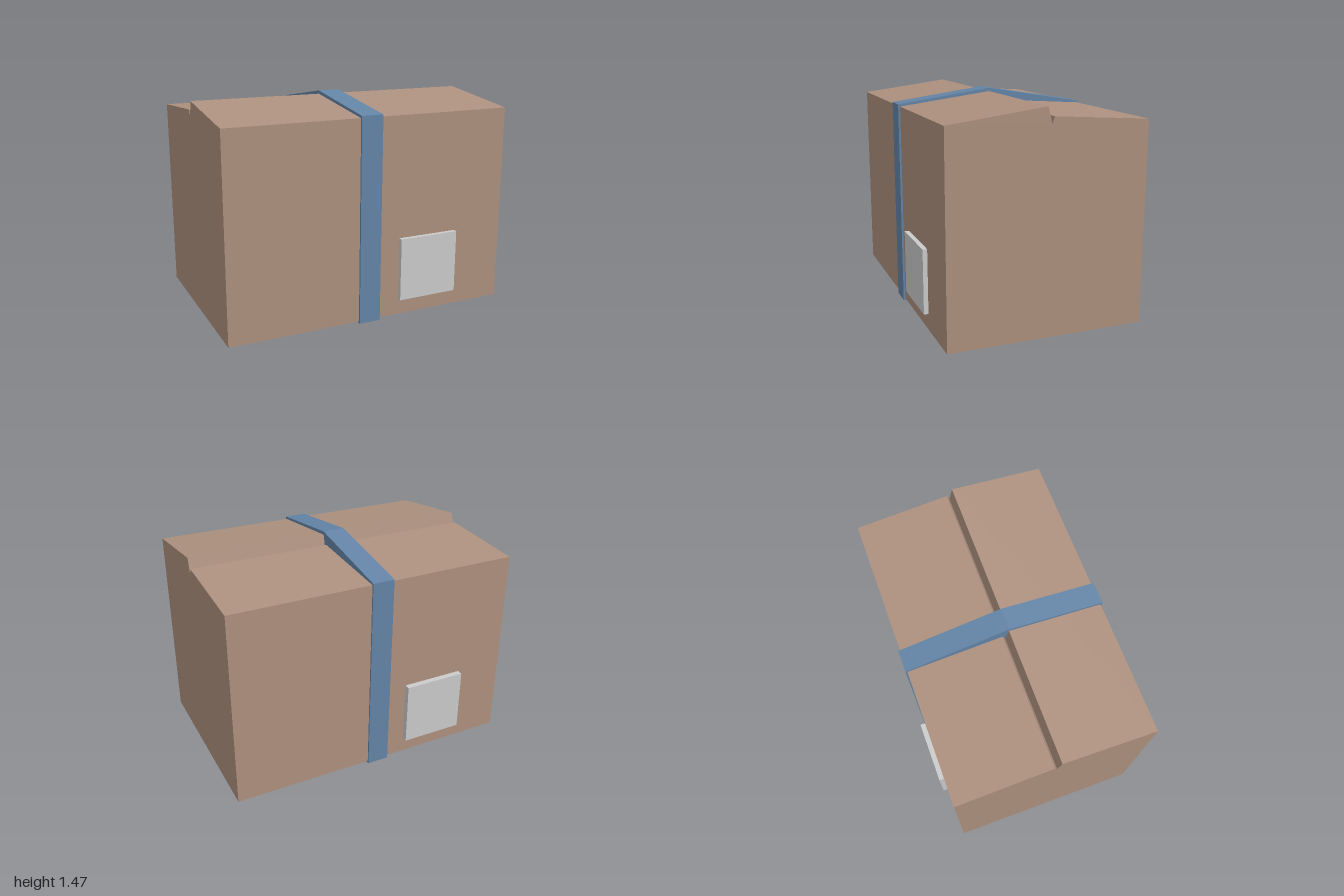
import * as THREE from 'three';

// Extrudes a side profile of [z, y] points across x0..x1.
function sideProfile(points, x0, x1) {
  const shape = new THREE.Shape(points.map(([z, y]) => new THREE.Vector2(z, y)));
  const geometry = new THREE.ExtrudeGeometry(shape, { depth: x1 - x0, bevelEnabled: false });
  geometry.rotateY(-Math.PI / 2);
  geometry.translate(x1, 0, 0);
  return geometry;
}

export function createModel() {
  const group = new THREE.Group();
  const add = (name, geometry, color) => {
    const material = new THREE.MeshStandardMaterial({ color });
    const mesh = new THREE.Mesh(geometry, material);
    mesh.name = name;
    group.add(mesh);
    return mesh;
  };

  // Carton with two raised lid flaps and a V-shaped gap between them
  add('carton', sideProfile([
    [-0.653, 0.012], [0.663, 0.012], [0.663, 1.37], [0.029, 1.45],
    [0.003, 1.345], [-0.013, 1.39], [-0.653, 1.345],
  ], -1, 1), 0xae917f);

  // Packing tape wrapped around the carton
  add('tape', sideProfile([
    [-0.664, 0], [0.676, 0], [0.676, 1.385], [0.031, 1.473], [-0.664, 1.357],
  ], -0.1, 0.05), 0x6485a7);

  // Square labels on the front and back
  for (const [name, x, z] of [['frontLabel', 0.41, 0.668], ['backLabel', -0.443, -0.668]]) {
    add(name, new THREE.BoxGeometry(0.43, 0.43, 0.05), 0xcccccc).position.set(x, 0.335, z);
  }

  return group;
}
